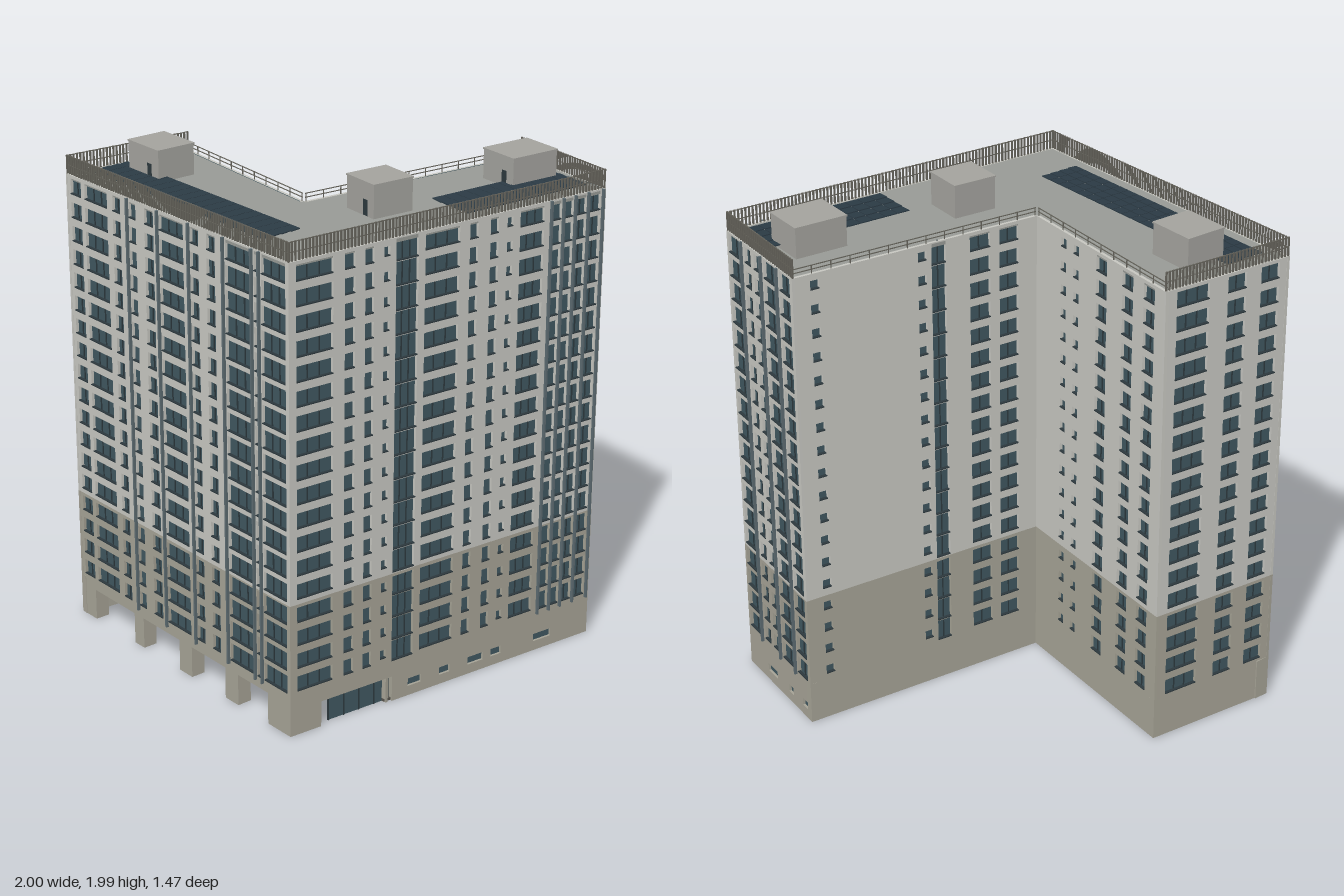
import * as THREE from 'three';
import { mergeGeometries } from 'three/addons/utils/BufferGeometryUtils.js';

const mat = (color, side = THREE.FrontSide) => new THREE.MeshStandardMaterial({ color, side });
const M = {
  wall: mat(0xc6c6c0), base: mat(0xa5a295), glass: mat(0x3f565f, THREE.DoubleSide), frame: mat(0x2c383d),
  fin: mat(0x5c6a70), roof: mat(0x979a95), rail: mat(0x66645c), hut: mat(0xa3a29d),
  panel: mat(0x2b3a44), dark: mat(0x55524c),
};
// Footprint corners (x, z): an angled two-wing plan
const PLAN = [[-1, -0.01], [0.11, 0.73], [1, -0.41], [0.61, -0.735], [-0.035, 0.06], [-0.66, -0.44]];
const BASE = 0.17, BAND = 0.54, TOP = 1.86, FLOORS = 18, PITCH = 0.0943, FIRST = 0.213, T = 0.012;
const N = 0.031, S = 0.018, F = 0.037, V = 0.0455; // half heights: normal, small, floor-high, full strip

const alongX = (x) => (x + 1) / 1.11;
const alongZ = (z) => (0.73 - z) / 1.14;
const map = (f, list) => list.map(([a, b, ...rest]) => [f(a), f(b), ...rest]);

// One entry per facade: window columns [start, end, halfHeight], fins, base windows and base openings
const FACADES = [
  { name: 'frontLeftFacade', thick: 0.06, pickets: true,
    cols: map(alongX, [[-0.975, -0.92, N], [-0.9, -0.78, N], [-0.75, -0.71, N], [-0.665, -0.63, N], [-0.585, -0.54, N],
      [-0.51, -0.39, N], [-0.355, -0.315, N], [-0.275, -0.235, N], [-0.185, -0.065, F], [-0.05, -0.03, F], [-0.015, 0.095, F]]),
    fins: [-0.67, -0.515, -0.36, -0.192, -0.057, -0.023].map(alongX), vents: [],
    doors: map(alongX, [[-0.92, -0.7, 0.13], [-0.65, -0.455, 0.13], [-0.39, -0.215, 0.13], [-0.15, 0, 0.13]]) },
  { name: 'frontRightFacade', thick: 0.03, pickets: true,
    cols: map(alongZ, [[0.705, 0.58, N], [0.54, 0.505, N], [0.47, 0.44, N], [0.405, 0.385, S], [0.363, 0.284, V],
      [0.26, 0.137, N], [0.1, 0.07, N], [0.025, -0.005, N], [-0.037, -0.058, S], [-0.085, -0.175, N],
      [-0.205, -0.24, F], [-0.25, -0.285, F], [-0.295, -0.335, F], [-0.345, -0.39, F]]),
    fins: [-0.199, -0.245, -0.29, -0.34, -0.397].map(alongZ),
    vents: map(alongZ, [[0.3, 0.25], [0.18, 0.14], [0.07, 0.01], [-0.02, -0.06], [-0.19, -0.26]]),
    doors: map(alongZ, [[0.62, 0.36, 0.105]]) },
  { name: 'rightEndFacade', thick: 0.03, pickets: true,
    cols: [[0.03, 0.21, F], [0.28, 0.37, N], [0.42, 0.51, N], [0.57, 0.75, F], [0.81, 0.96, F]],
    fins: [0.24, 0.54, 0.78], vents: [[0.3, 0.45], [0.64, 0.71], [0.86, 0.94]], doors: [] },
  { name: 'innerRightFacade', thick: 0.03, pickets: false,
    cols: [[0.07, 0.105, S], [0.5, 0.535, S], [0.556, 0.615, V], [0.715, 0.8, N], [0.84, 0.92, N]],
    fins: [], vents: [], doors: [] },
  { name: 'innerLeftFacade', thick: 0.03, pickets: false,
    cols: [[0.2, 0.24, S], [0.3, 0.34, S], [0.48, 0.56, N], [0.68, 0.76, N], [0.84, 0.92, N]],
    fins: [], vents: [], doors: [] },
  { name: 'leftEndFacade', thick: 0.03, pickets: true,
    cols: [[0.09, 0.35, N], [0.5, 0.65, N], [0.77, 0.92, N]], fins: [], vents: [], doors: [] },
];

function add(parent, name, geometry, material) {
  const mesh = new THREE.Mesh(geometry, material);
  mesh.name = name;
  parent.add(mesh);
  return mesh;
}
const box = (w, h, d, x, y, z) => new THREE.BoxGeometry(w, h, d).translate(x, y, z);

// Group whose x runs from p to q and whose z faces outward
function frameBetween(p, q, name) {
  const g = new THREE.Group();
  g.name = name;
  g.position.set(p[0], 0, p[1]);
  g.rotation.y = -Math.atan2(q[1] - p[1], q[0] - p[0]);
  return g;
}

// Wall panel with rectangular holes [x0, x1, y0, y1] and openings [x0, x1, top] cut from its lower edge
function panel(L, y0, y1, depth, holes, openings = []) {
  const s = new THREE.Shape().moveTo(0, y0);
  for (const [a, b, h] of openings) s.lineTo(a, y0).lineTo(a, h).lineTo(b, h).lineTo(b, y0);
  s.lineTo(L, y0).lineTo(L, y1).lineTo(0, y1).closePath();
  for (const [a, b, c, d] of holes) {
    s.holes.push(new THREE.Path().moveTo(a, c).lineTo(a, d).lineTo(b, d).lineTo(b, c).closePath());
  }
  return new THREE.ExtrudeGeometry(s, { depth, bevelEnabled: false }).translate(0, 0, -depth);
}

// Horizontal slab over a plan polygon, drawn slightly inside the walls
function slab(points, y0, y1, k) {
  const s = new THREE.Shape(points.map(([x, z]) => new THREE.Vector2(0.1 + (x - 0.1) * k, -(0.3 + (z - 0.3) * k))));
  return new THREE.ExtrudeGeometry(s, { depth: y1 - y0, bevelEnabled: false }).rotateX(-Math.PI / 2).translate(0, y0, 0);
}

function buildFacade(f, p, q) {
  const L = Math.hypot(q[0] - p[0], q[1] - p[1]);
  const g = frameBetween(p, q, f.name);
  const lower = [], upper = [], bars = [];
  for (let i = 0; i < FLOORS; i++) {
    const y = FIRST + i * PITCH;
    for (const [a, b, h] of f.cols) {
      const x0 = a * L, x1 = b * L, w = x1 - x0;
      const y0 = Math.max(y - h, BASE + 0.002);
      (y < BAND ? lower : upper).push([x0, x1, y0, Math.min(y + h, TOP - 0.005)]);
      // Mullions and sill
      const panes = w > 0.1 ? 3 : w > 0.045 ? 2 : 1;
      for (let k = 1; k < panes; k++) bars.push(box(0.004, y + h - y0, 0.004, x0 + (w * k) / panes, (y + h + y0) / 2, -T + 0.002));
      bars.push(box(w, 0.004, T, x0 + w / 2, y0 + 0.002, -T / 2 + 0.002));
    }
  }
  add(g, 'lowerWall', panel(L, BASE, BAND, T, lower), M.base);
  add(g, 'upperWall', panel(L, BAND, TOP, T, upper), M.wall);
  add(g, 'windowGlass', new THREE.PlaneGeometry(L - 0.02, TOP - BASE).translate(L / 2, (TOP + BASE) / 2, -T), M.glass);
  add(g, 'windowFrames', mergeGeometries(bars), M.frame);
  if (f.fins.length) {
    const fins = f.fins.map((u) => box(0.008, TOP - BASE + 0.01, 0.014, u * L, (TOP + BASE) / 2 - 0.005, 0.004));
    add(g, 'verticalFins', mergeGeometries(fins), M.fin);
  }
  // Ground floor wall, small windows and openings
  const vents = f.vents.map(([a, b]) => [a * L, b * L, 0.04, 0.072]);
  add(g, 'groundWall', panel(L, 0, BASE, f.thick, vents, f.doors.map(([a, b, h]) => [a * L, b * L, h])), M.base);
  for (const [a, b, c, d] of vents) add(g, 'groundWindow', box(b - a, d - c, 0.004, (a + b) / 2, (c + d) / 2, -0.012), M.glass);

  // Roof railing: dense pickets on the street sides, light rails on the inner sides
  const rail = [];
  const n = Math.round(L / (f.pickets ? 0.015 : 0.08)), w = f.pickets ? 0.006 : 0.003, h = f.pickets ? 0.075 : 0.035;
  for (let i = 0; i <= n; i++) rail.push(box(w, h, w, 0.004 + ((L - 0.008) * i) / n, TOP + h / 2 - 0.002, -0.006));
  for (const y of [h * 0.45, h - 0.004]) rail.push(box(L, 0.003, 0.003, L / 2, TOP + y, -0.006));
  add(g, 'roofRailing', mergeGeometries(rail), M.rail);
  return g;
}

// Rooftop hut with a small door
function buildHut(x, z, w, d, top, angle) {
  const g = new THREE.Group();
  g.name = 'roofHut';
  g.position.set(x, TOP - 0.004, z);
  g.rotation.y = -angle;
  const h = top - TOP;
  add(g, 'hutWalls', box(w, h, d, 0, h / 2, 0), M.hut);
  add(g, 'hutCap', box(w + 0.006, 0.006, d + 0.006, 0, h, 0), M.hut);
  add(g, 'hutDoor', box(0.025, 0.06, 0.004, w * 0.2, 0.034, d / 2), M.frame);
  return g;
}

// Solar array: tiles laid along p to q, extending depth toward the inside
function buildSolar(p, q, depth, nx, nz) {
  const L = Math.hypot(q[0] - p[0], q[1] - p[1]);
  const g = frameBetween(p, q, 'solarArray');
  const tiles = [];
  for (let i = 0; i < nx; i++) for (let j = 0; j < nz; j++) {
    const w = L / nx, d = depth / nz;
    tiles.push(new THREE.BoxGeometry(w - 0.003, 0.004, d - 0.002).rotateX(0.06).translate((i + 0.5) * w, TOP + 0.012, -(j + 0.5) * d));
  }
  add(g, 'solarPanels', mergeGeometries(tiles), M.panel);
  return g;
}

export function createModel() {
  const model = new THREE.Group();
  model.name = 'apartmentBlock';
  FACADES.forEach((f, i) => model.add(buildFacade(f, PLAN[i], PLAN[(i + 1) % PLAN.length])));

  add(model, 'roofSlab', slab(PLAN, TOP - 0.02, TOP - 0.002, 0.99), M.roof);
  add(model, 'arcadeCeiling', slab(PLAN, 0.14, 0.165, 0.98), M.dark);

  // Enclosed ground floor behind the arcade
  const inner = [[-0.79, -0.27], [0.38, 0.38], ...PLAN.slice(2)];
  add(model, 'groundSlab', slab(inner, 0.002, 0.012, 0.98), M.dark);
  const back = frameBetween(inner[0], inner[1], 'arcadeBackWall');
  const len = Math.hypot(1.17, 0.65);
  add(back, 'backWall', box(len, 0.15, 0.012, len / 2, 0.075, -0.006), M.base);
  model.add(back);

  // Glazed entrance set into the right-hand opening
  const entry = frameBetween(PLAN[1], PLAN[2], 'entrance');
  const L = Math.hypot(0.89, 1.14), e0 = 0.13 * L, e1 = 0.325 * L;
  add(entry, 'entranceGlass', box(e1 - e0, 0.105, 0.004, (e0 + e1) / 2, 0.0525, -0.025), M.glass);
  const posts = [0, 1, 2, 3, 4].map((i) => box(0.005, 0.105, 0.008, e0 + ((e1 - e0) * i) / 4, 0.0525, -0.024));
  add(entry, 'entranceFrames', mergeGeometries(posts), M.frame);
  model.add(entry);

  model.add(buildHut(-0.655, -0.125, 0.19, 0.165, 1.985, 0.6));
  model.add(buildHut(0.254, 0.067, 0.165, 0.175, 1.99, 0.67));
  model.add(buildHut(0.665, -0.433, 0.175, 0.21, 1.98, 0.66));
  model.add(buildSolar([-0.906, -0.035], [-0.04, 0.543], 0.17, 20, 4));
  model.add(buildSolar([0.58, 0.06], [0.93, -0.4], 0.205, 11, 4));
  return model;
}
